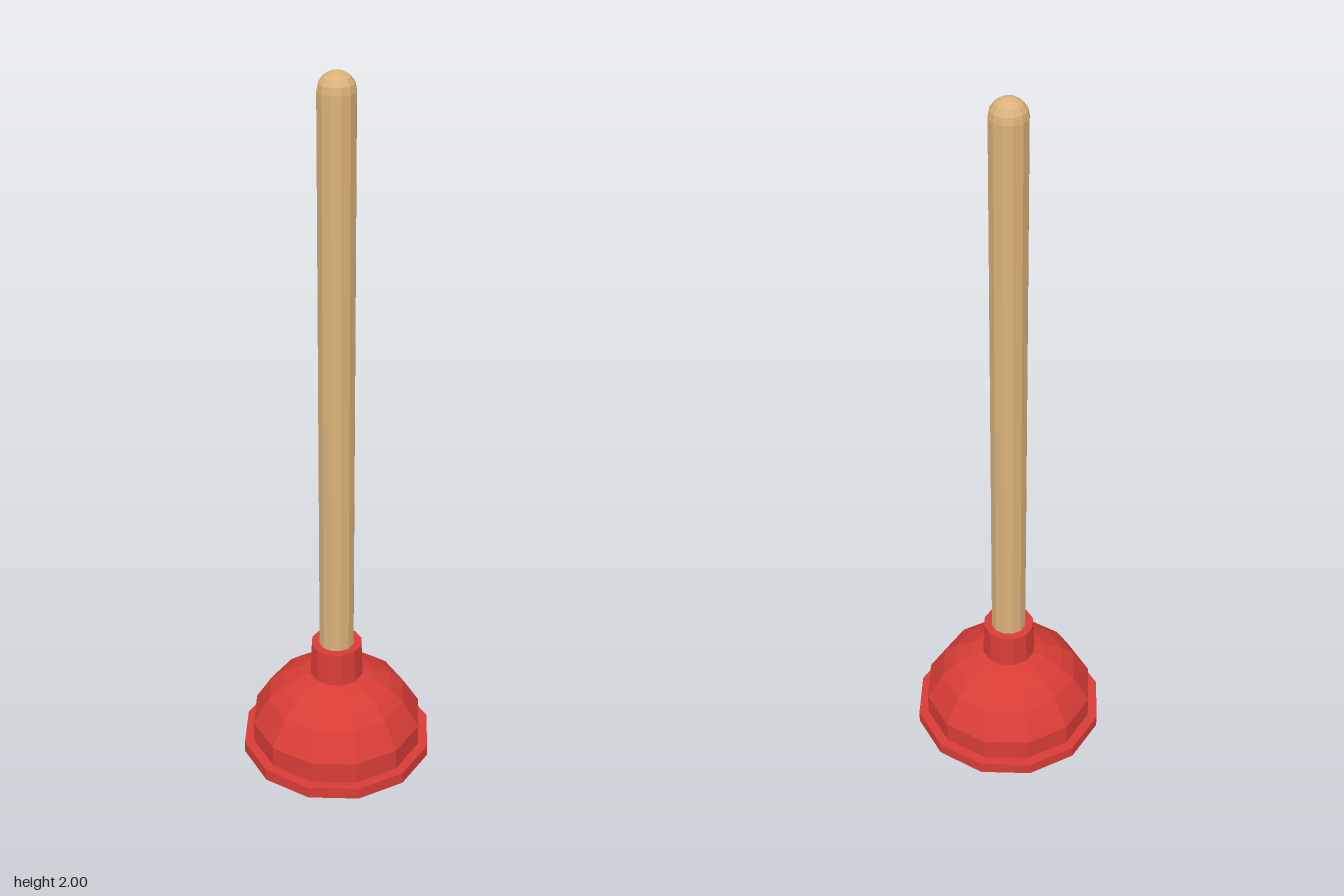
import * as THREE from 'three';

const SIDES = 12;

export function createModel() {
  const rubber = new THREE.MeshStandardMaterial({ color: 0xd93d37, flatShading: true });
  rubber.name = 'red rubber';
  const wood = new THREE.MeshStandardMaterial({ color: 0xdcb27a, flatShading: true });
  wood.name = 'pale wood';

  const group = new THREE.Group();
  group.name = 'plunger';

  // Spins a [radius, height] profile around the upright axis
  const turn = (name, material, profile) => {
    const points = profile.map(([r, y]) => new THREE.Vector2(r, y));
    const mesh = new THREE.Mesh(new THREE.LatheGeometry(points, SIDES), material);
    mesh.name = name;
    group.add(mesh);
  };

  // Hollow inside of the cup, ending at the rim
  turn('cupInside', rubber, [[0, 0.15], [0.1, 0.15], [0.252, 0]]);

  // Flat lip around the mouth
  turn('rim', rubber, [[0.252, 0], [0.276, 0], [0.276, 0.035], [0.247, 0.035]]);

  // Domed outer cup
  turn('cup', rubber, [
    [0.248, 0.035], [0.248, 0.1], [0.2, 0.178], [0.163, 0.21], [0.107, 0.24], [0.074, 0.25],
  ]);

  // Socket that grips the handle
  turn('collar', rubber, [[0.077, 0.245], [0.073, 0.35], [0.048, 0.35]]);

  // Long handle with a rounded end
  const handle = [[0, 0.24], [0.05, 0.24]];
  for (let i = 0; i <= 4; i++) {
    const a = (i / 4) * Math.PI / 2;
    handle.push([i === 4 ? 0 : 0.05 * Math.cos(a), 1.95 + 0.05 * Math.sin(a)]);
  }
  turn('handle', wood, handle);

  return group;
}
